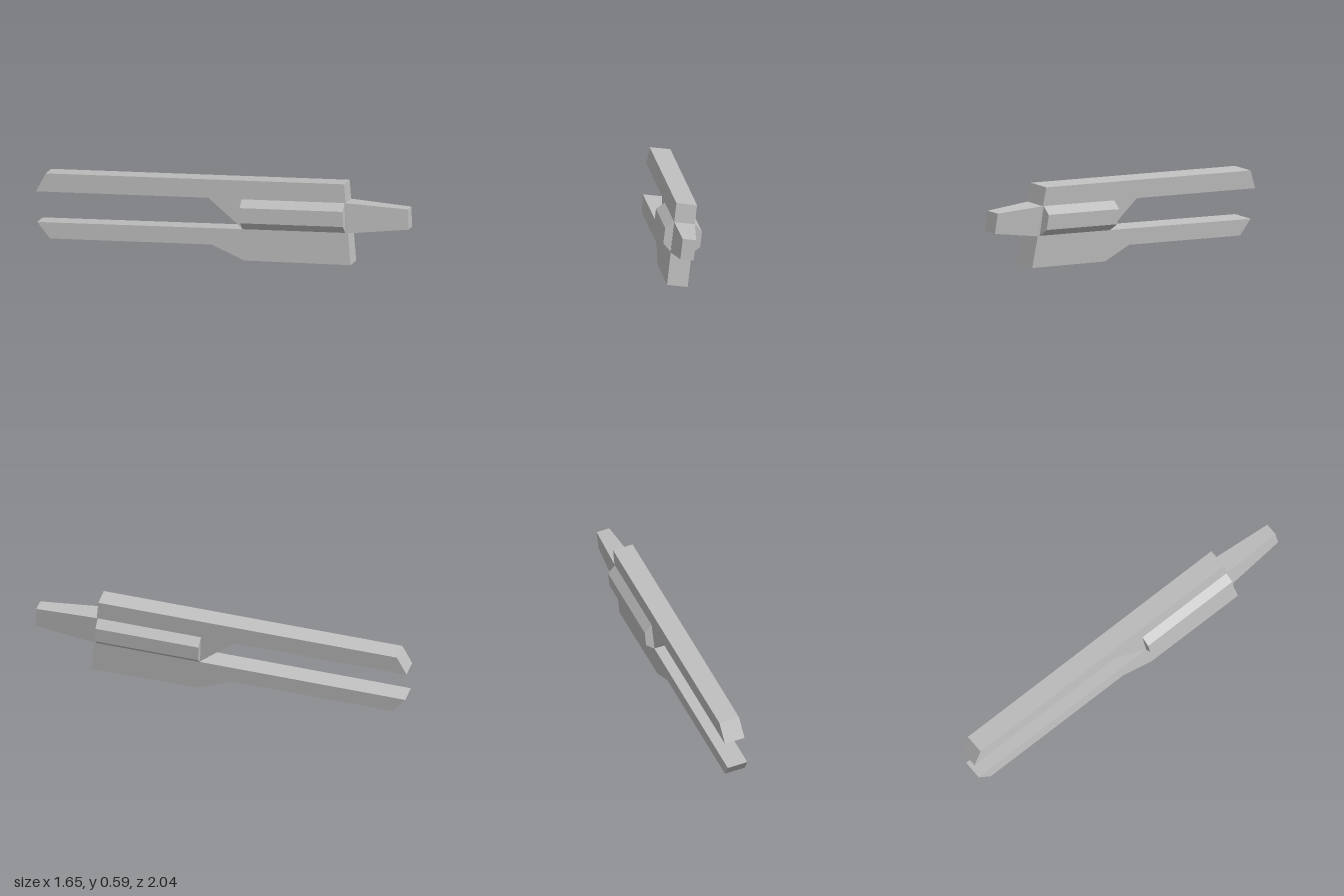
import * as THREE from 'three';

// Box whose two ends along an axis have their own centre and half sizes.
// Axis 'x' tapers (y, z); axis 'z' tapers y only.
function taperedBox(axis, near, far) {
  const geo = new THREE.BoxGeometry(2, 2, 2);
  const p = geo.attributes.position;
  for (let i = 0; i < p.count; i++) {
    const end = p['get' + axis.toUpperCase()](i) > 0 ? far : near;
    const pick = (k, v) => (v > 0 ? end[k][1] : end[k][0]);
    p.setXYZ(i, pick('x', p.getX(i)), pick('y', p.getY(i)), pick('z', p.getZ(i)));
  }
  geo.computeVertexNormals();
  return geo;
}

export function createModel() {
  const grey = new THREE.MeshStandardMaterial({ color: 0xbfbfbf });
  grey.name = 'hull grey';
  const model = new THREE.Group();
  model.name = 'forkedShip';
  const ship = new THREE.Group();
  ship.name = 'ship';
  model.add(ship);
  const add = (name, geo) => {
    const mesh = new THREE.Mesh(geo, grey);
    mesh.name = name;
    ship.add(mesh);
  };

  // Slab hull with two long prongs: x runs forward, y up from the top edge
  const half = 0.068;
  const outline = [
    [0, 0], [-2.014, 0], [-2.083, -0.122], [-0.919, -0.123], [-0.69, -0.324],
    [-2.08, -0.326], [-1.997, -0.433], [-0.906, -0.434], [-0.688, -0.533], [0.03, -0.538],
  ];
  const hull = new THREE.ExtrudeGeometry(
    new THREE.Shape(outline.map(([x, y]) => new THREE.Vector2(x, y))),
    { depth: half * 2, bevelEnabled: false });
  hull.translate(0, 0, -half);
  add('forkedHull', hull);

  // Tapered nose
  add('nose', taperedBox('x',
    { x: [0, 0], y: [-0.328, -0.125], z: [-half, half] },
    { x: [0.425, 0.42], y: [-0.293, -0.158], z: [-0.044, 0.044] }));

  // Chamfered side pods
  const root = { x: [-0.695, 0], y: [-0.324, -0.125], z: [half, half] };
  const face = { x: [-0.695, 0], y: [-0.273, -0.172], z: [0.121, 0.121] };
  add('rightPod', taperedBox('z', root, face));
  const flip = (e) => ({ ...e, z: e.z.map((v) => -v) });
  add('leftPod', taperedBox('z', flip(face), flip(root)));

  // Diagonal resting pose
  const forward = new THREE.Vector3(0.623, 0.061, 0.78).normalize();
  const side = new THREE.Vector3().crossVectors(forward, new THREE.Vector3(0.059, 0.991, -0.125)).normalize();
  const up = new THREE.Vector3().crossVectors(side, forward);
  ship.quaternion.setFromRotationMatrix(new THREE.Matrix4().makeBasis(forward, up, side));
  ship.position.set(0.533, 0.58, 0.613);

  // Centre the model and stand it on the ground
  model.updateMatrixWorld(true);
  const box = new THREE.Box3().setFromObject(model, true);
  const c = box.getCenter(new THREE.Vector3());
  ship.position.sub(new THREE.Vector3(c.x, box.min.y, c.z));
  return model;
}
